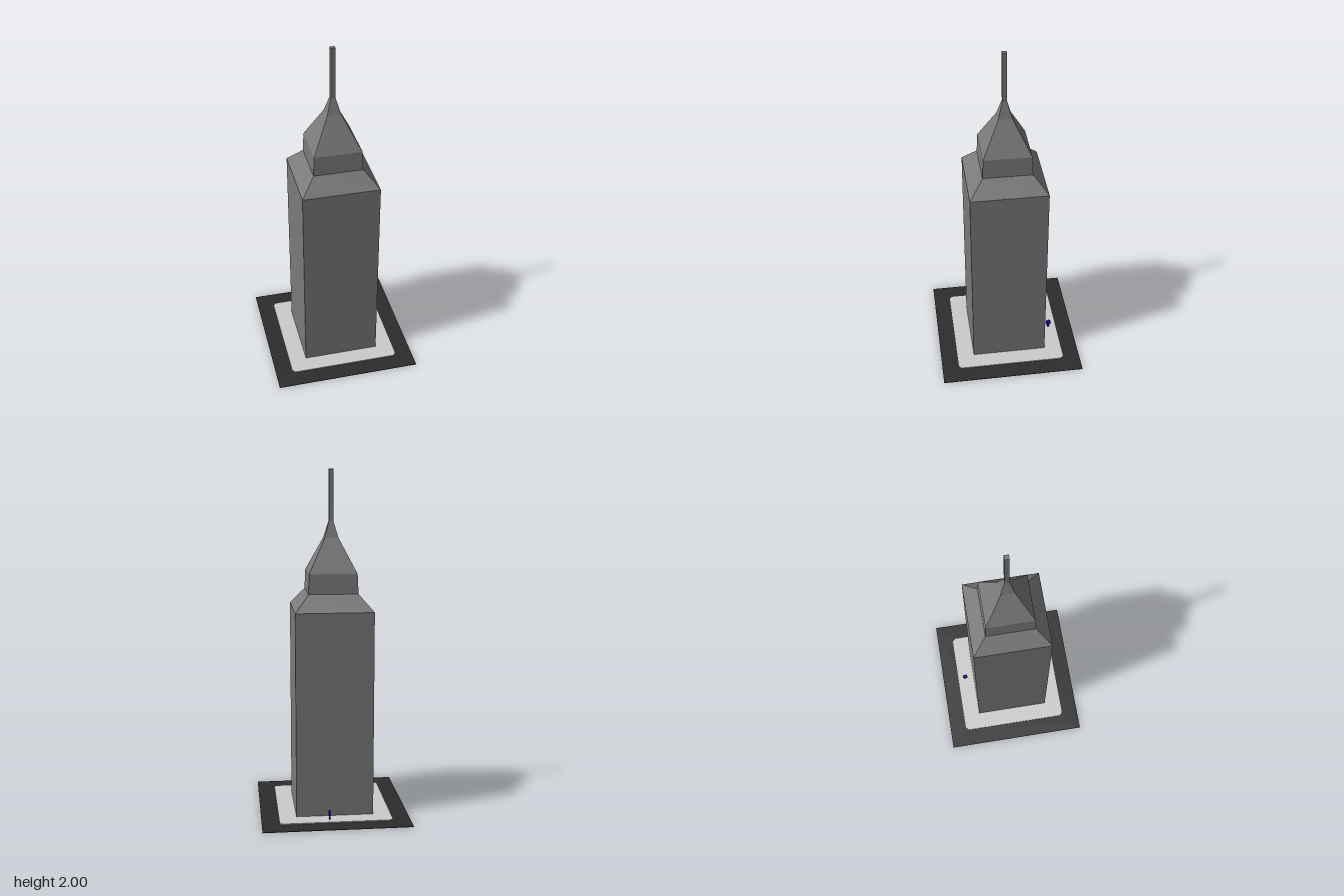
import * as THREE from 'three';

const mat = (color) => new THREE.MeshStandardMaterial({ color, flatShading: true });

export function createModel() {
  const model = new THREE.Group();
  const add = (name, geometry, material, x = 0, y = 0, z = 0, parent = model) => {
    const mesh = new THREE.Mesh(geometry, material);
    mesh.name = name;
    mesh.position.set(x, y, z);
    parent.add(mesh);
    return mesh;
  };
  const stone = mat(0x7a7a7a);
  const blue = mat(0x1414c8);

  // Square tower sections: [half width, height]
  const loft = (profile) => new THREE.LatheGeometry(
    profile.map(([h, y]) => new THREE.Vector2(h * Math.SQRT2, y)), 4, Math.PI / 4);
  add('towerShaft', loft([[0, 0], [0.225, 0], [0.225, 1.205]]), stone);
  add('shoulder', loft([[0.225, 1.205], [0.143, 1.3]]), stone);
  add('crown', loft([[0.143, 1.3], [0.138, 1.415]]), stone);
  add('roof', loft([[0.138, 1.415], [0.04, 1.61], [0.013, 1.705]]), stone);
  add('mast', loft([[0.013, 1.705], [0.013, 2], [0, 2]]), stone);

  // Street slab with an opening for the tower: dark above, grey below
  const square = (Type, h) => new Type([[-h, -h], [h, -h], [h, h], [-h, h]]
    .map(([x, y]) => new THREE.Vector2(x, y)));
  const slab = (shape, depth) => new THREE.ExtrudeGeometry(shape, { depth, bevelEnabled: false })
    .rotateX(-Math.PI / 2);
  const street = square(THREE.Shape, 0.43);
  street.holes.push(square(THREE.Path, 0.225));
  add('foundation', slab(street, 0.001), stone);
  add('street', slab(street, 0.002), mat(0x2c2c2c), 0, 0.001);

  // Pavement with clipped corners
  const a = 0.328, b = 0.311;
  const pavement = new THREE.Shape([[-b, -a], [b, -a], [a, -b], [a, b], [b, a], [-b, a], [-a, b], [-a, -b]]
    .map(([x, y]) => new THREE.Vector2(x, y)));
  pavement.holes.push(square(THREE.Path, 0.225));
  add('pavement', slab(pavement, 0.006), mat(0xcccccc), 0, 0.003);

  // Small blue post box behind the tower
  const box = new THREE.Group();
  box.name = 'postBox';
  box.position.set(0.037, 0.009, -0.281);
  model.add(box);
  add('postBoxStem', new THREE.BoxGeometry(0.008, 0.026, 0.01), blue, 0, 0.013, 0, box);
  add('postBoxBody', new THREE.BoxGeometry(0.013, 0.022, 0.028), blue, 0, 0.035, 0, box);
  add('postBoxCap', new THREE.BoxGeometry(0.01, 0.006, 0.014), blue, 0, 0.049, 0, box);

  return model;
}
